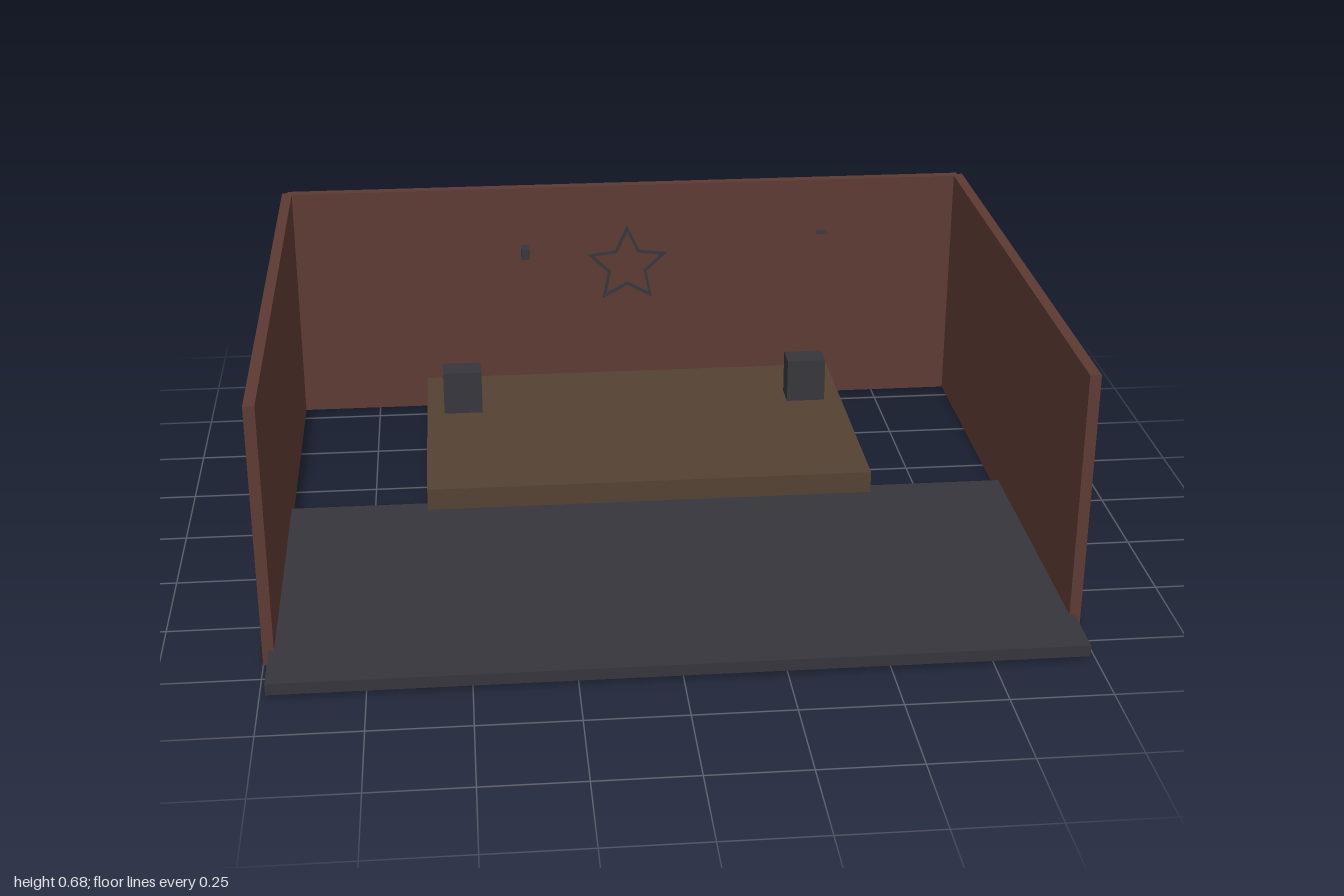
import * as THREE from 'three';

export function createModel() {
  const model = new THREE.Group();
  model.name = 'stageSet';

  const material = (name, color) => {
    const m = new THREE.MeshStandardMaterial({ color });
    m.name = name;
    return m;
  };
  const brick = material('brickRed', 0x5e3a33);
  const wood = material('stageWood', 0x544233);
  const slate = material('slate', 0x36353c);

  const add = (name, geometry, mat) => {
    const mesh = new THREE.Mesh(geometry, mat);
    mesh.name = name;
    model.add(mesh);
    return mesh;
  };
  // Box from its minimum and maximum corners
  const box = (name, mat, [x0, y0, z0], [x1, y1, z1]) =>
    add(name, new THREE.BoxGeometry(x1 - x0, y1 - y0, z1 - z0), mat)
      .position.set((x0 + x1) / 2, (y0 + y1) / 2, (z0 + z1) / 2);

  // Floor, stage and back wall
  box('floor', slate, [-0.985, 0.01, -0.07], [0.985, 0.04, 0.84]);
  box('stage', wood, [-0.605, 0.04, -0.79], [0.605, 0.1, -0.03]);
  box('backWall', brick, [-0.985, 0, -0.84], [0.985, 0.682, -0.812]);

  // Mirrored side walls and speakers
  for (const [side, s] of [['left', 1], ['right', -1]]) {
    const x = (a, b) => [Math.min(s * a, s * b), Math.max(s * a, s * b)];
    const [w0, w1] = x(0.972, 1);
    box(side + 'Wall', brick, [w0, 0, -0.828], [w1, 0.682, 0.687]);
    const [p0, p1] = x(0.445, 0.555);
    box(side + 'Speaker', slate, [p0, 0.1, -0.6], [p1, 0.225, -0.525]);
  }

  // Small hanging lamp and flat lamp plate
  box('lamp', slate, [-0.317, 0.513, -0.712], [-0.293, 0.542, -0.668]);
  box('lampPlate', slate, [0.55, 0.552, -0.73], [0.58, 0.554, -0.7]);

  // Five-pointed star outline on the back wall
  const starPoints = (outer, inner) =>
    Array.from({ length: 10 }, (_, i) => {
      const r = i % 2 ? inner : outer;
      const a = Math.PI / 2 + (i * Math.PI) / 5;
      return new THREE.Vector2(r * Math.cos(a), r * Math.sin(a));
    });
  const star = new THREE.Shape(starPoints(0.124, 0.06));
  star.holes.push(new THREE.Path(starPoints(0.106, 0.051)));
  add('star', new THREE.ExtrudeGeometry(star, { depth: 0.008, bevelEnabled: false }), slate)
    .position.set(0, 0.433, -0.812);

  return model;
}
